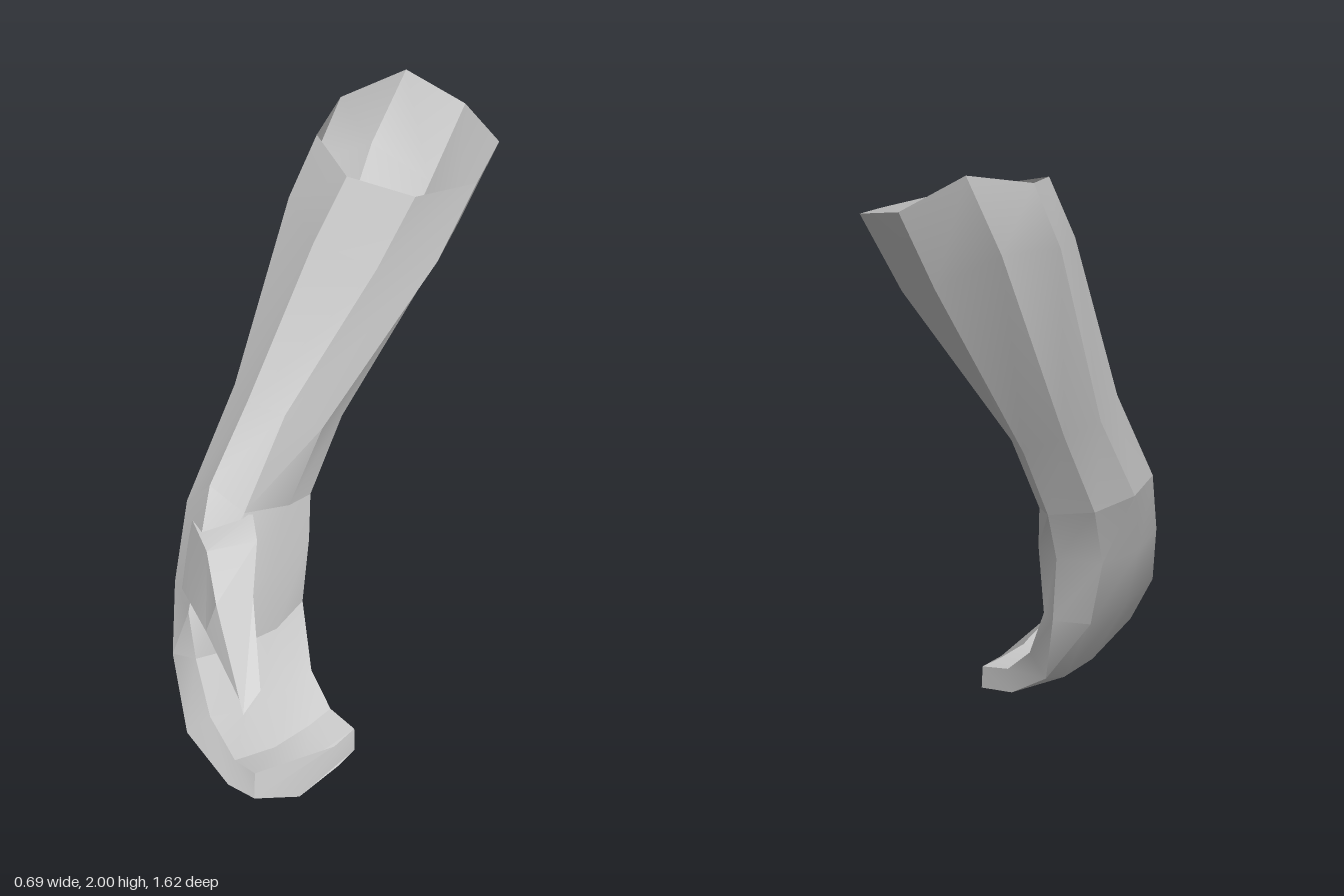
import * as THREE from 'three';
import { toCreasedNormals } from 'three/addons/utils/BufferGeometryUtils.js';

// Skin a list of closed cross-sections; optionally close the last one.
function loft(name, rings, capEnd) {
  const n = rings[0].length;
  const index = [];
  const quad = (a, b, c, d) => index.push(a, b, c, a, c, d);
  for (let i = 0; i < rings.length - 1; i++) {
    for (let j = 0; j < n; j++) {
      const k = (j + 1) % n;
      quad(i * n + j, i * n + k, (i + 1) * n + k, (i + 1) * n + j);
    }
  }
  if (capEnd) {
    const s = (rings.length - 1) * n;
    for (let k = 0; k < n / 2 - 1; k++) quad(s + k, s + k + 1, s + n - 2 - k, s + n - 1 - k);
  }
  const geometry = new THREE.BufferGeometry();
  geometry.setAttribute('position', new THREE.Float32BufferAttribute(rings.flat(2), 3));
  geometry.setIndex(index);
  const material = new THREE.MeshStandardMaterial({ color: 0xcccccc, side: THREE.DoubleSide });
  const mesh = new THREE.Mesh(toCreasedNormals(geometry, 0.45), material);
  mesh.name = name;
  return mesh;
}

// Each eight-sided section runs front, outer side, back, inner side.
const elbow = [
  [-0.05, 1.91, -0.17], [-0.24, 1.95, -0.27], [-0.31, 1.96, -0.50], [-0.20, 2.00, -0.72],
  [-0.02, 1.89, -0.81], [0.18, 1.86, -0.71], [0.25, 1.845, -0.47], [0.16, 1.87, -0.25],
];
const upperForearm = [
  [-0.10, 1.70, -0.06], [-0.28, 1.75, -0.17], [-0.35, 1.75, -0.40], [-0.26, 1.75, -0.61],
  [-0.06, 1.64, -0.67], [0.13, 1.60, -0.55], [0.20, 1.60, -0.33], [0.10, 1.64, -0.13],
];
const lowerForearm = [
  [-0.18, 1.19, 0.20], [-0.28, 1.18, 0.14], [-0.29, 1.12, 0.00], [-0.22, 1.08, -0.12],
  [-0.10, 1.03, -0.18], [0.00, 1.04, -0.08], [0.02, 1.08, 0.06], [-0.05, 1.17, 0.17],
];
const wrist = [
  [-0.19, 0.96, 0.40], [-0.29, 0.85, 0.40], [-0.31, 0.82, 0.22], [-0.24, 0.79, 0.06],
  [-0.10, 0.78, -0.01], [-0.03, 0.78, 0.06], [-0.03, 0.81, 0.18], [-0.08, 0.87, 0.36],
];
const palm = [
  [-0.12, 0.60, 0.62], [-0.24, 0.62, 0.54], [-0.25, 0.58, 0.38], [-0.20, 0.57, 0.20],
  [-0.08, 0.60, 0.09], [0.00, 0.63, 0.11], [-0.02, 0.60, 0.30], [-0.06, 0.60, 0.50],
];
const knuckles = [
  [-0.08, 0.43, 0.64], [-0.18, 0.40, 0.64], [-0.17, 0.36, 0.45], [-0.13, 0.33, 0.25],
  [-0.04, 0.36, 0.14], [0.00, 0.38, 0.15], [0.00, 0.36, 0.30], [-0.04, 0.39, 0.50],
];
const fingerBend = [
  [0.03, 0.28, 0.71], [-0.04, 0.20, 0.75], [0.02, 0.09, 0.56], [0.03, 0.08, 0.36],
  [0.05, 0.10, 0.26], [0.11, 0.19, 0.25], [0.10, 0.19, 0.36], [0.07, 0.22, 0.56],
];
const fingerMiddle = [
  [0.17, 0.20, 0.76], [0.17, 0.12, 0.80], [0.20, 0.015, 0.62], [0.20, 0.005, 0.40],
  [0.21, 0.01, 0.30], [0.22, 0.10, 0.29], [0.21, 0.10, 0.40], [0.19, 0.12, 0.57],
];
const fingerTip = [
  [0.26, 0.20, 0.77], [0.28, 0.12, 0.80], [0.33, 0.01, 0.62], [0.345, 0.00, 0.42],
  [0.345, 0.00, 0.32], [0.335, 0.085, 0.31], [0.33, 0.085, 0.42], [0.31, 0.10, 0.57],
];

// Four-sided thumb sections: upper back, upper front, lower front, lower back.
const thumbSections = [
  [[-0.06, 0.86, 0.34], [-0.28, 0.82, 0.41], [-0.24, 0.62, 0.53], [-0.05, 0.64, 0.36]],
  [[0.01, 0.83, 0.41], [-0.09, 0.83, 0.55], [-0.11, 0.645, 0.62], [0.00, 0.66, 0.48]],
  [[0.09, 0.72, 0.54], [0.04, 0.75, 0.67], [0.01, 0.635, 0.69], [0.06, 0.62, 0.60]],
  [[0.26, 0.54, 0.73], [0.25, 0.49, 0.81], [0.20, 0.455, 0.75], [0.22, 0.50, 0.72]],
];

export function createModel() {
  const model = new THREE.Group();
  model.name = 'forearmAndHand';
  model.add(
    loft('forearm', [elbow, upperForearm, lowerForearm, wrist], false),
    loft('mittenHand', [wrist, palm, knuckles, fingerBend, fingerMiddle, fingerTip], true),
    loft('thumb', thumbSections, true),
  );
  return model;
}
